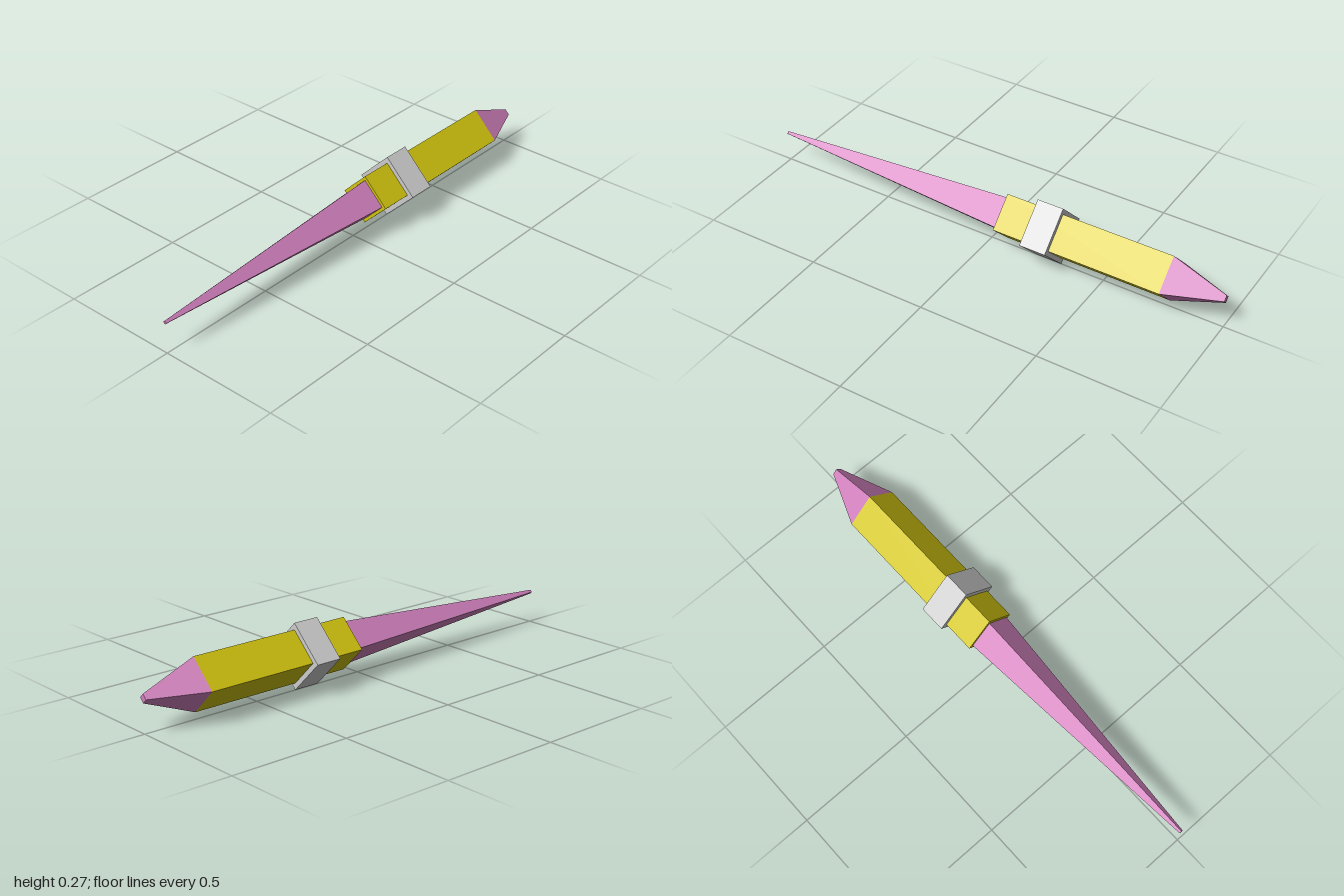
import * as THREE from 'three';

const AXIS_Y = 0.134;

export function createModel() {
  const group = new THREE.Group();
  const material = (name, color) => {
    const m = new THREE.MeshStandardMaterial({ color, flatShading: true });
    m.name = name;
    return m;
  };
  const pink = material('pink', 0xd080bc);
  const yellow = material('yellow', 0xd0c30e);
  const grey = material('grey', 0xcccccd);

  // Four-sided section along z, with its corners up, down, left and right
  function section(name, mat, zBack, rBack, zFront, rFront) {
    const geometry = new THREE.CylinderGeometry(rFront, rBack, zFront - zBack, 4);
    geometry.rotateX(Math.PI / 2);
    const mesh = new THREE.Mesh(geometry, mat);
    mesh.name = name;
    mesh.position.set(0, AXIS_Y, (zFront + zBack) / 2);
    group.add(mesh);
  }

  section('spike', pink, -0.07, 0.088, 1, 0.008);
  section('handle', yellow, -0.78, 0.106, -0.07, 0.106);
  section('collar', grey, -0.315, 0.133, -0.204, 0.133);
  section('pommel', pink, -1, 0.018, -0.78, 0.106);

  return group;
}
